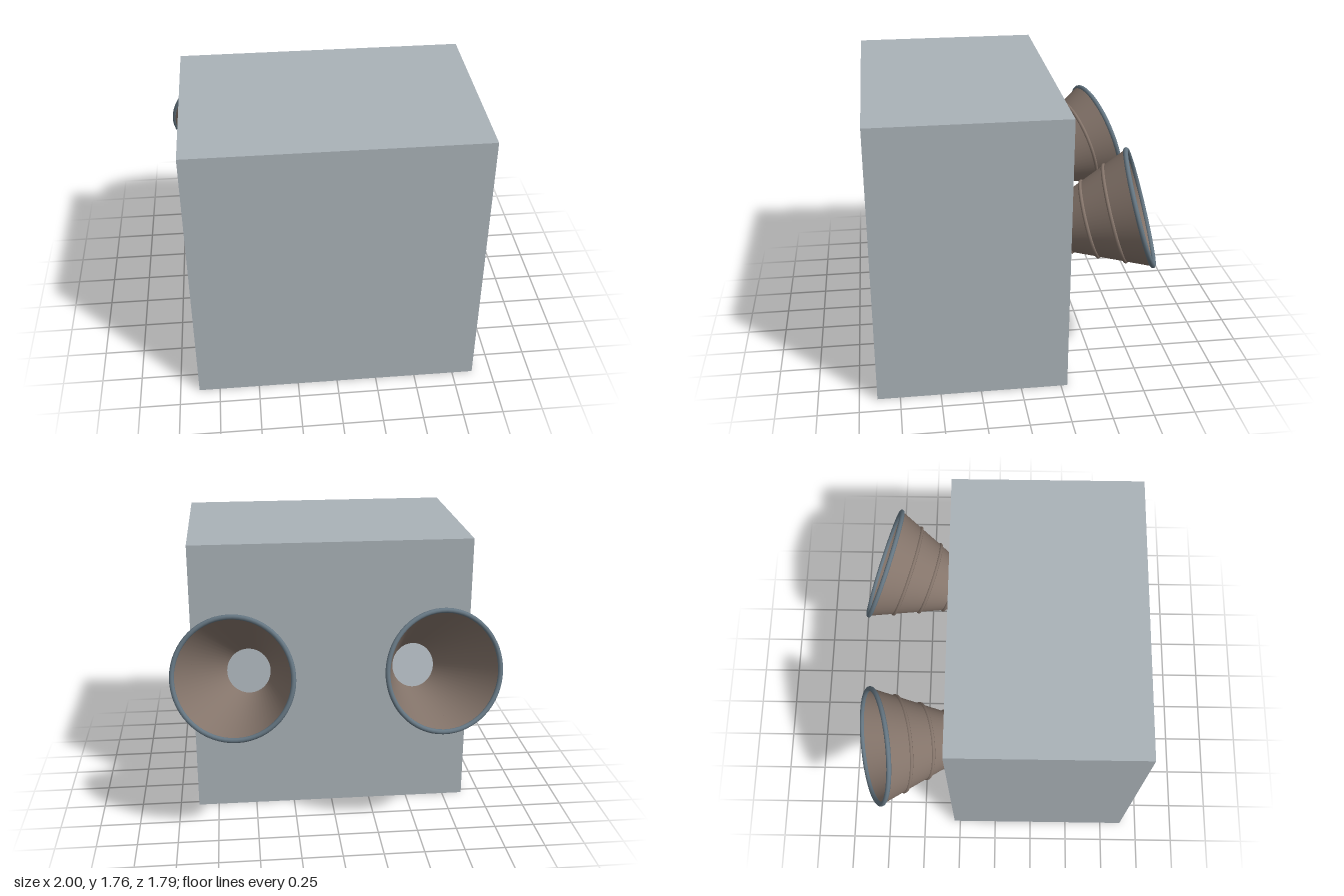
import * as THREE from 'three';
import { mergeGeometries } from 'three/addons/utils/BufferGeometryUtils.js';

const W = 1.76, H = 1.765, BACK = -0.29, FRONT = 0.89;
const SEG = 64;
const DEPTH = 0.57;        // horn length behind the rim
const WALL = 0.012;        // horn wall thickness
const radiusAt = (t) => 0.366 - 0.412 * t; // outer horn radius at depth t

const grey = new THREE.MeshStandardMaterial({ color: 0xaab2b8 });
grey.name = 'cabinet grey';
const brown = new THREE.MeshStandardMaterial({ color: 0x84746a });
brown.name = 'horn brown';
const steel = new THREE.MeshStandardMaterial({ color: 0x657682 });
steel.name = 'rim steel blue';

function add(parent, name, geometry, material) {
  const mesh = new THREE.Mesh(geometry, material);
  mesh.name = name;
  parent.add(mesh);
  return mesh;
}

// Horn: local +y points out of the mouth, origin at the rim centre
function makeHorn(side) {
  const horn = new THREE.Group();
  horn.name = side > 0 ? 'leftHorn' : 'rightHorn';
  const v = (r, t) => new THREE.Vector2(r, -t);

  add(horn, 'hornOuterWall', new THREE.LatheGeometry(
    [v(radiusAt(DEPTH), DEPTH), v(radiusAt(0), 0)], SEG), brown);
  add(horn, 'hornInnerWall', new THREE.LatheGeometry(
    [v(radiusAt(0) - WALL, 0), v(radiusAt(DEPTH) - WALL, DEPTH)], SEG), brown);

  // raised bands around the outside
  for (const t of [0.155, 0.312, 0.465]) {
    const band = new THREE.TorusGeometry(radiusAt(t), 0.012, 8, SEG);
    band.rotateX(Math.PI / 2).translate(0, -t, 0);
    add(horn, 'hornBand', band, brown);
  }

  // rolled lip at the mouth
  add(horn, 'hornRim', new THREE.TorusGeometry(0.362, 0.015, 10, SEG).rotateX(Math.PI / 2), steel);

  // disc closing the throat
  const disc = new THREE.CircleGeometry(radiusAt(0.52) - WALL / 2, SEG);
  disc.rotateX(-Math.PI / 2).translate(0, -0.52, 0);
  add(horn, 'hornThroat', disc, grey);

  const axis = new THREE.Vector3(side * 0.2, 0.283, -0.936).normalize();
  horn.quaternion.setFromUnitVectors(new THREE.Vector3(0, 1, 0), axis);
  horn.position.set(side * 0.63, 1.083, -0.755);
  horn.updateMatrix();
  return horn;
}

// Outline where a horn passes through the cabinet back
function hornOpening(horn) {
  const points = [];
  for (let i = 0; i < SEG; i++) {
    const a = (i / SEG) * Math.PI * 2;
    const at = (t) => new THREE.Vector3(
      Math.cos(a) * (radiusAt(t) - WALL / 2), -t, Math.sin(a) * (radiusAt(t) - WALL / 2)
    ).applyMatrix4(horn.matrix);
    const mouth = at(0), end = at(DEPTH);
    const p = mouth.clone().lerp(end, (BACK - mouth.z) / (end.z - mouth.z));
    points.push(new THREE.Vector2(-p.x, p.y)); // the back panel is turned round afterwards
  }
  return new THREE.Path(points);
}

export function createModel() {
  const model = new THREE.Group();
  model.name = 'hornSpeaker';
  const horns = [makeHorn(1), makeHorn(-1)];

  // cabinet: a box without its back face, closed by a panel with two openings
  const box = new THREE.BoxGeometry(W, H, FRONT - BACK);
  box.setIndex(Array.from(box.index.array).slice(0, 30));
  box.clearGroups();
  box.translate(0, H / 2, (FRONT + BACK) / 2);

  const panel = new THREE.Shape([
    new THREE.Vector2(-W / 2, 0), new THREE.Vector2(W / 2, 0),
    new THREE.Vector2(W / 2, H), new THREE.Vector2(-W / 2, H),
  ]);
  panel.holes = horns.map(hornOpening);
  const back = new THREE.ShapeGeometry(panel);
  back.rotateY(Math.PI).translate(0, 0, BACK);

  add(model, 'cabinet', mergeGeometries([box, back]), grey);
  model.add(...horns);
  return model;
}
